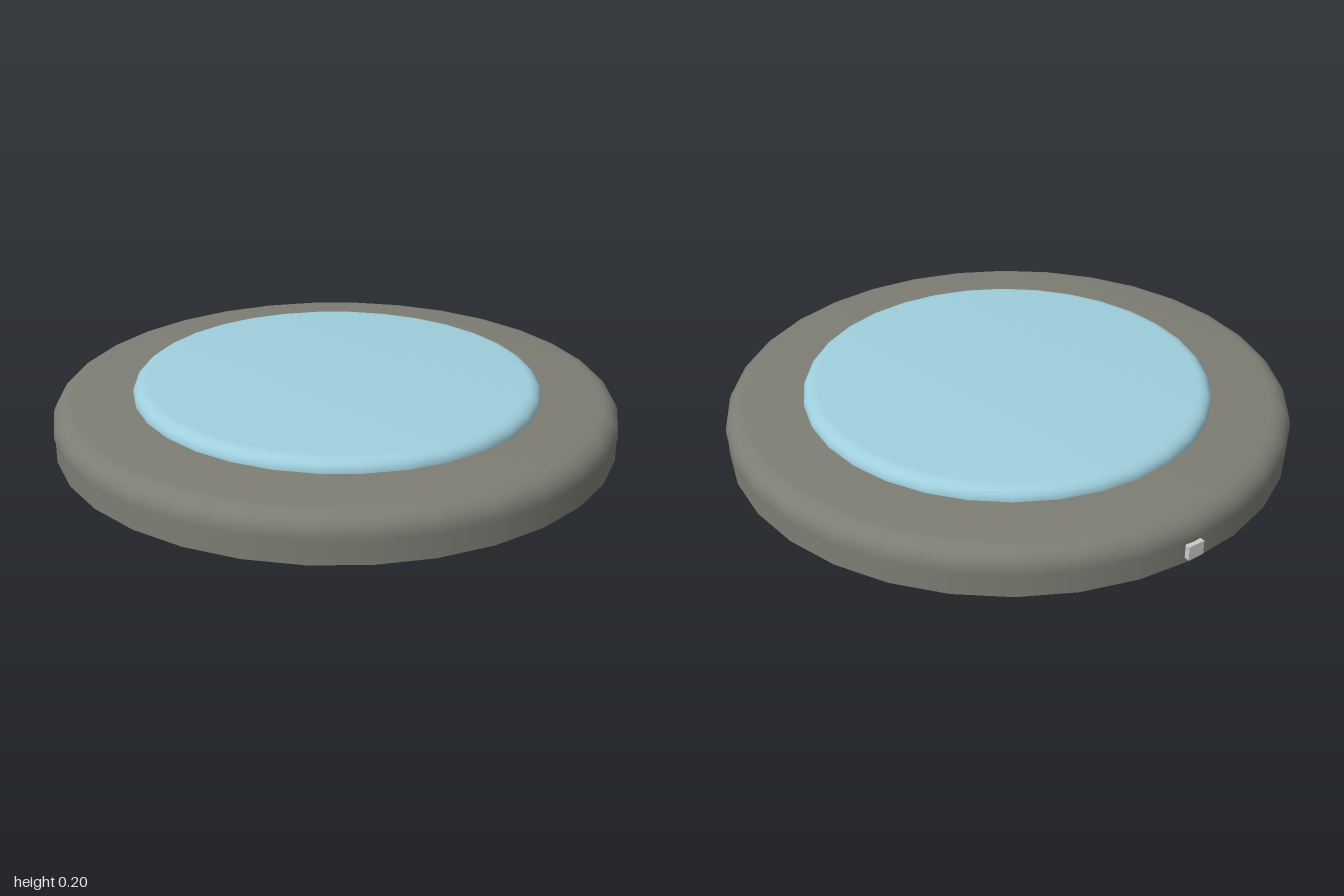
import * as THREE from 'three';
import { toCreasedNormals } from 'three/addons/utils/BufferGeometryUtils.js';

const SIDES = 32;

// Disc with a flat top and a quarter-round upper edge.
function roundedDisc(name, radius, bottom, top, edge, color) {
  const profile = [new THREE.Vector2(0, bottom), new THREE.Vector2(radius, bottom)];
  const steps = 6;
  for (let i = 0; i <= steps; i++) {
    const a = (i / steps) * Math.PI / 2;
    profile.push(new THREE.Vector2(
      radius - edge.x + edge.x * Math.cos(a),
      top - edge.y + edge.y * Math.sin(a)
    ));
  }
  profile.push(new THREE.Vector2(0, top));
  const geometry = toCreasedNormals(new THREE.LatheGeometry(profile, SIDES), 0.6);
  const mesh = new THREE.Mesh(geometry, new THREE.MeshStandardMaterial({ color }));
  mesh.name = name;
  return mesh;
}

export function createModel() {
  const model = new THREE.Group();
  model.name = 'roundPad';
  const shellColor = 0x7d7d74;

  // Lower shell: a plain drum
  const base = new THREE.Mesh(
    new THREE.CylinderGeometry(0.99, 0.99, 0.086, SIDES),
    new THREE.MeshStandardMaterial({ color: shellColor })
  );
  base.name = 'lowerShell';
  base.position.set(0.005, 0.043, 0);

  // Upper shell with a rounded rim
  const cover = roundedDisc('upperShell', 0.994, 0.084, 0.16, { x: 0.07, y: 0.07 }, shellColor);
  cover.position.x = 0.005;

  // Raised pad on top
  const pad = roundedDisc('topPad', 0.727, 0.15, 0.203, { x: 0.05, y: 0.04 }, 0x9fcfdd);
  pad.scale.z = 0.983;
  pad.position.z = -0.008;

  // Small socket on the side wall
  const socket = new THREE.Mesh(
    new THREE.BoxGeometry(0.05, 0.05, 0.06),
    new THREE.MeshStandardMaterial({ color: 0xcccccc })
  );
  socket.name = 'sideSocket';
  socket.position.set(-0.975, 0.045, 0);

  model.add(base, cover, pad, socket);
  return model;
}
